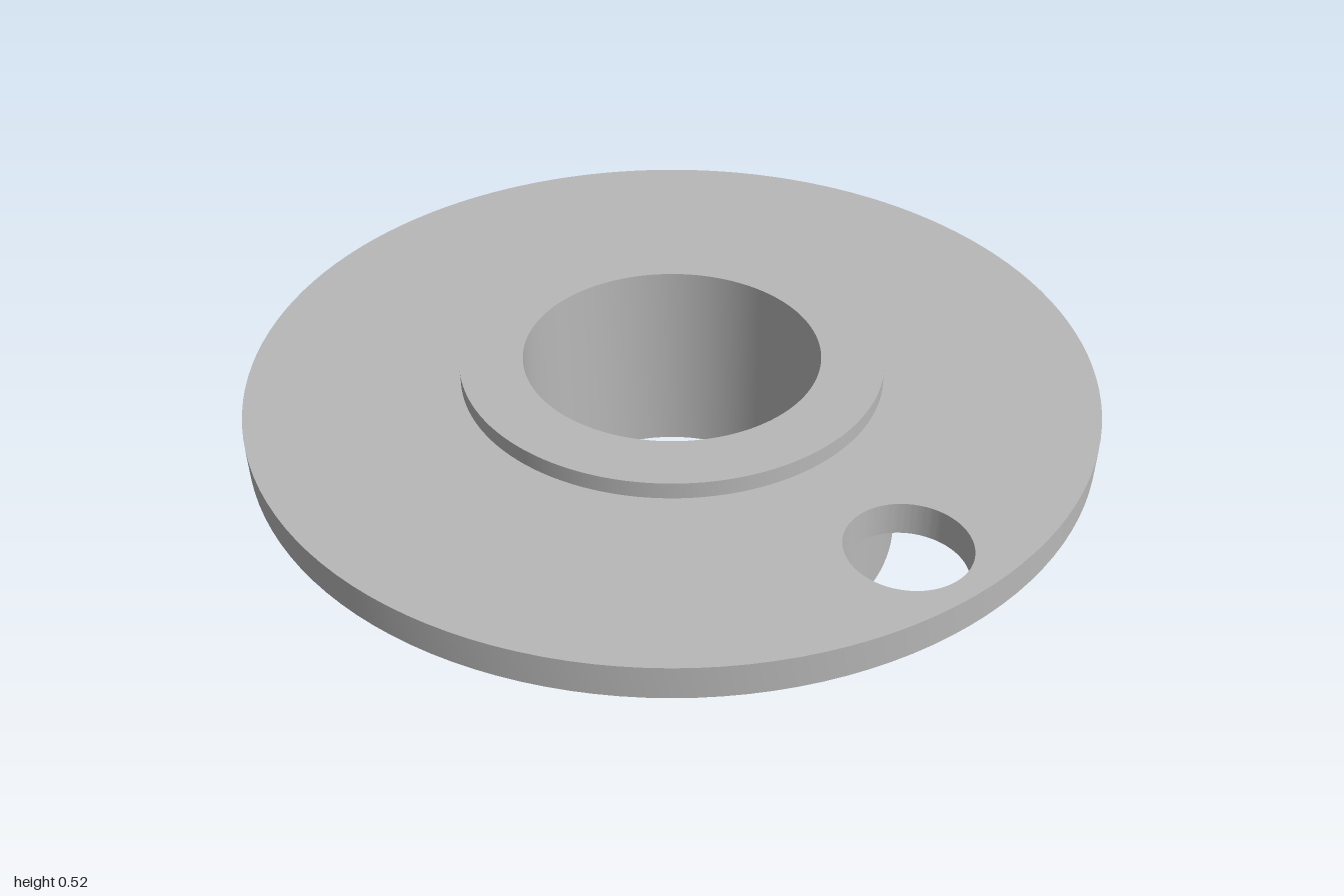
import * as THREE from 'three';
import { toCreasedNormals } from 'three/addons/utils/BufferGeometryUtils.js';

const SEGMENTS = 128;
const BORE = 0.352, COLLAR = 0.5, HUB = 0.56;
const FLANGE_BOTTOM = 0.4, FLANGE_TOP = 0.48, TOP = 0.52, STEP = 0.04;

export function createModel() {
  const model = new THREE.Group();
  model.name = 'flangedBushing';

  const metal = new THREE.MeshStandardMaterial({ color: 0xb8b8b8 });
  metal.name = 'grey metal';

  const addPart = (name, geometry) => {
    const mesh = new THREE.Mesh(toCreasedNormals(geometry, Math.PI / 6), metal);
    mesh.name = name;
    model.add(mesh);
  };

  // Hub: bored sleeve with a narrower collar at each end
  const profile = [
    [BORE, TOP], [BORE, 0], [COLLAR, 0], [COLLAR, STEP], [HUB, STEP],
    [HUB, FLANGE_BOTTOM], [COLLAR, FLANGE_BOTTOM], [COLLAR, TOP], [BORE, TOP],
  ].map(([r, y]) => new THREE.Vector2(r, y));
  addPart('hub', new THREE.LatheGeometry(profile, SEGMENTS));

  // Flange: wide disc around the hub with one off-centre pin hole
  const disc = new THREE.Shape().absarc(0, 0, 1, 0, Math.PI * 2);
  for (const [x, r] of [[0, COLLAR], [0.813, 0.135]]) {
    disc.holes.push(new THREE.Path().absarc(x, 0, r, 0, Math.PI * 2, true));
  }
  const flange = new THREE.ExtrudeGeometry(disc, {
    depth: FLANGE_TOP - FLANGE_BOTTOM, bevelEnabled: false, curveSegments: SEGMENTS / 2,
  });
  flange.rotateX(-Math.PI / 2).translate(0, FLANGE_BOTTOM, 0);
  addPart('flange', flange);

  return model;
}
